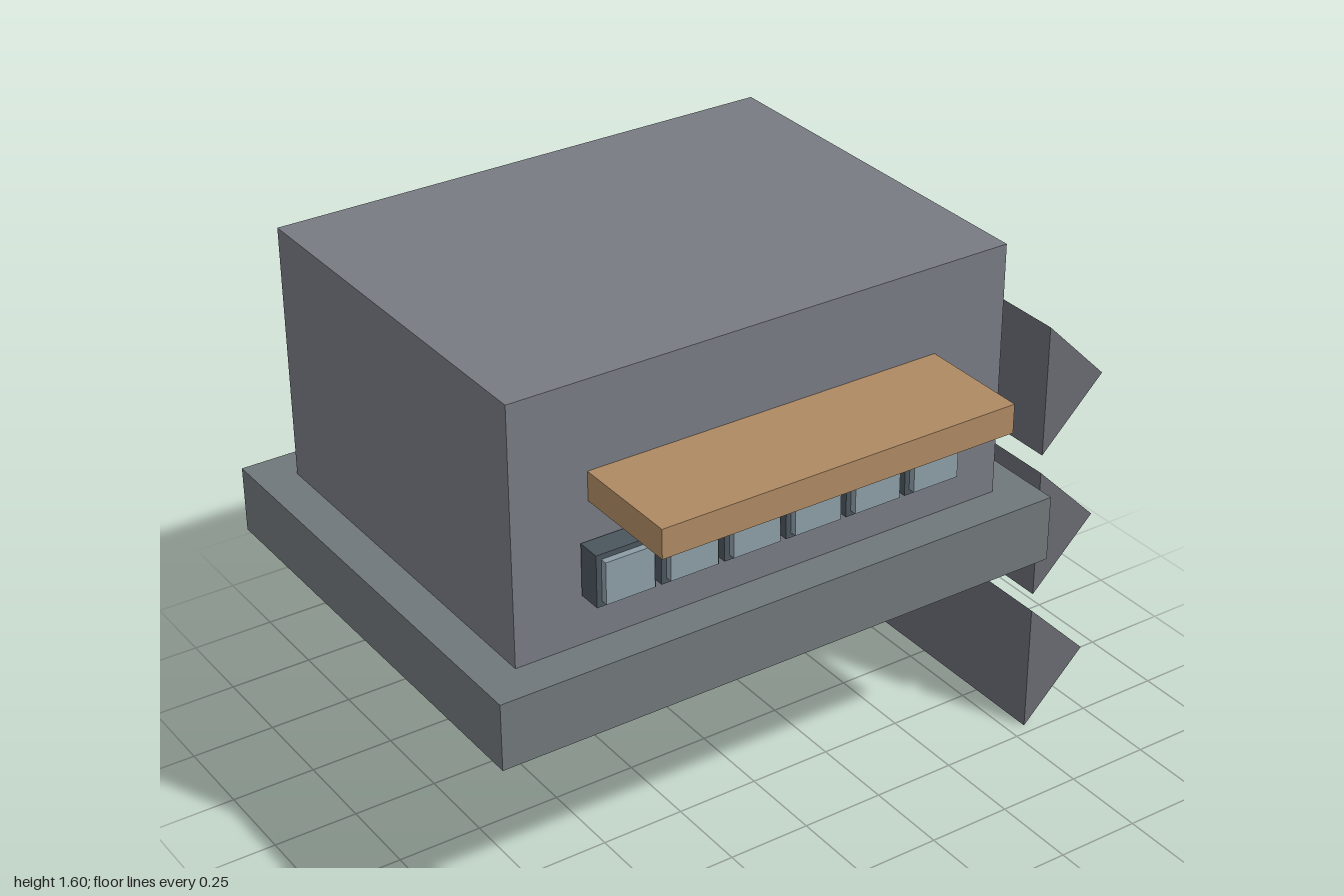
import * as THREE from 'three';

const mat = (color) => new THREE.MeshStandardMaterial({ color, flatShading: true });

export function createModel() {
  const group = new THREE.Group();
  const wall = mat(0x787a82), stone = mat(0x70777a), wood = mat(0xad8963);
  const frame = mat(0x4a555c), glass = mat(0x8c9ca5), wedge = mat(0x686a72);

  // Box given by its lower and upper limits on each axis
  const box = (name, material, [x0, x1], [y0, y1], [z0, z1]) => {
    const mesh = new THREE.Mesh(new THREE.BoxGeometry(x1 - x0, y1 - y0, z1 - z0), material);
    mesh.position.set((x0 + x1) / 2, (y0 + y1) / 2, (z0 + z1) / 2);
    mesh.name = name;
    group.add(mesh);
  };

  const back = -0.685, front = 0.469;
  box('base', stone, [-1, 0.742], [0.65, 0.847], [-0.796, 0.583]);
  box('building', wall, [-0.887, 0.631], [0.847, 1.595], [back, front]);
  box('awning', wood, [-0.664, 0.406], [1.257, 1.341], [front, 0.796]);

  // Row of windows with raised panes
  for (let i = 0; i < 6; i++) {
    const x = -0.605 + i * 0.191;
    box('windowFrame' + (i + 1), frame, [x - 0.087, x + 0.087], [0.995, 1.147], [0.475, 0.545]);
    box('windowPane' + (i + 1), glass, [x - 0.072, x + 0.072], [1.01, 1.132], [0.545, 0.565]);
  }

  // Stack of triangular prisms pointing outwards at the side
  const triangle = new THREE.Shape([
    new THREE.Vector2(0.802, 0),
    new THREE.Vector2(1, 0.198),
    new THREE.Vector2(0.802, 0.396),
  ]);
  const prism = new THREE.ExtrudeGeometry(triangle, { depth: front - back, bevelEnabled: false });
  for (let i = 0; i < 3; i++) {
    const mesh = new THREE.Mesh(prism, wedge);
    mesh.position.set(0, i * 0.452, back);
    mesh.name = 'sidePrism' + (i + 1);
    group.add(mesh);
  }
  return group;
}
